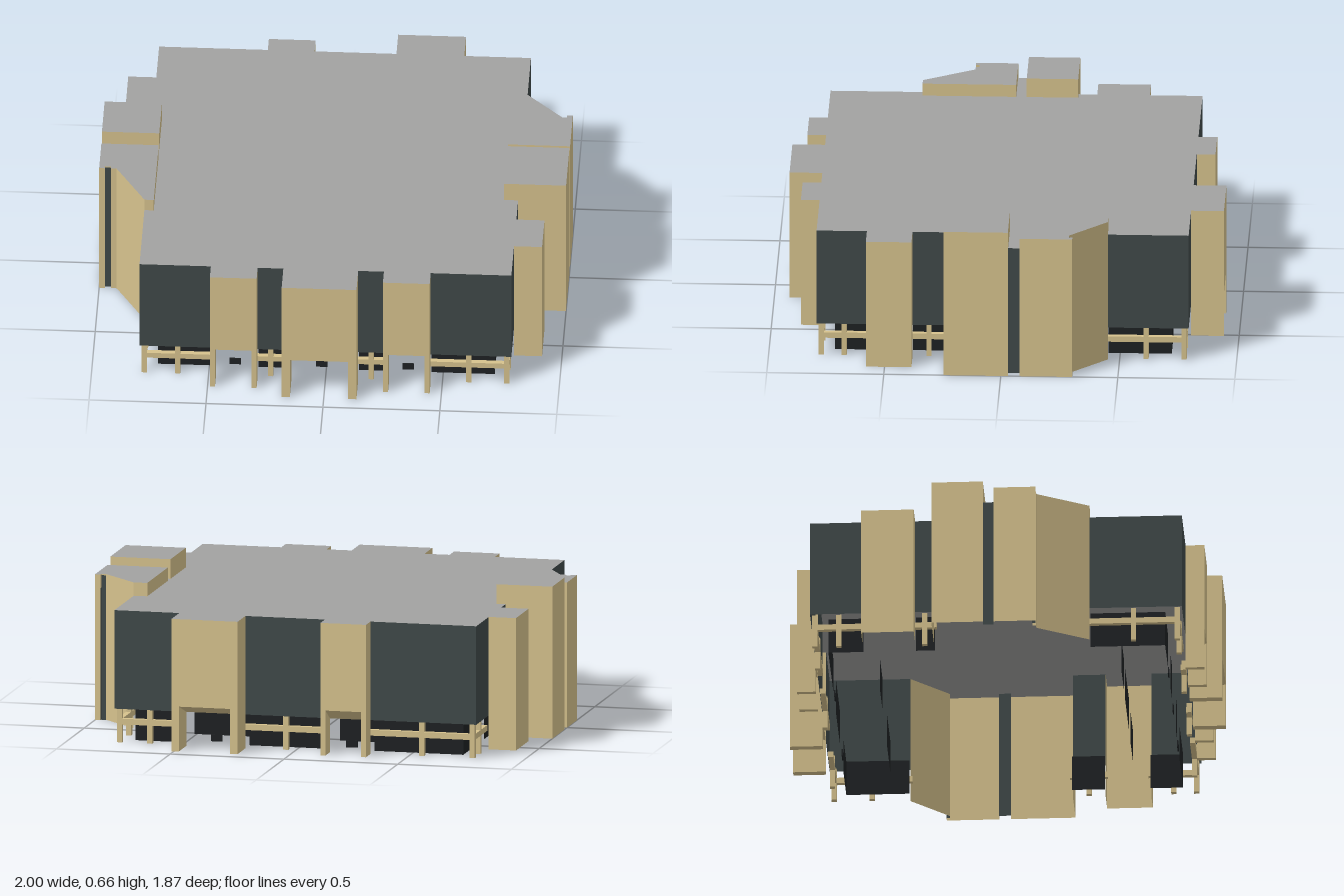
import * as THREE from 'three';

const mat = (name, color) => {
  const m = new THREE.MeshStandardMaterial({ color, side: THREE.DoubleSide });
  m.name = name;
  return m;
};

const ROOF = 0.575, UNDER = 0.147, PORTAL = 0.195, B = 0.795;

export function createModel() {
  const group = new THREE.Group();
  const tan = mat('tan stone', 0xd6c28d);
  const slate = mat('slate cladding', 0x404949);
  const grey = mat('grey roof', 0xa2a2a1);
  const black = mat('dark glazing', 0x1e2123);

  const add = (name, geo, material) => {
    const mesh = new THREE.Mesh(geo, material);
    mesh.name = name;
    group.add(mesh);
    return mesh;
  };

  // Flat four-cornered face, corners anticlockwise from outside
  const quad = (name, a, b, c, d, material) => {
    const g = new THREE.BufferGeometry();
    g.setAttribute('position', new THREE.Float32BufferAttribute([...a, ...b, ...c, ...d], 3));
    g.setIndex([0, 1, 2, 0, 2, 3]);
    g.computeVertexNormals();
    return add(name, g, material);
  };
  const wall = (name, [ax, az], [bx, bz], y0, y1, material) =>
    quad(name, [ax, y0, az], [bx, y0, bz], [bx, y1, bz], [ax, y1, az], material);

  const flatRoof = (name, pts, y) => {
    const shape = new THREE.Shape(pts.map(([x, z]) => new THREE.Vector2(x, -z)));
    add(name, new THREE.ShapeGeometry(shape).rotateX(-Math.PI / 2).translate(0, y, 0), grey);
  };

  // Box between two opposite corners
  const box = (name, x0, x1, y0, y1, z0, z1, material) =>
    add(name, new THREE.BoxGeometry(Math.abs(x1 - x0), y1 - y0, Math.abs(z1 - z0)), material)
      .position.set((x0 + x1) / 2, (y0 + y1) / 2, (z0 + z1) / 2);

  // Pull a point of the outline in to a smaller square
  const inset = ([x, z], r) => [THREE.MathUtils.clamp(x, -r, r), THREE.MathUtils.clamp(z, -r, r)];

  // Raised upper storey over open ground floor, with glazing, rail and posts
  const overhang = (a, b) => {
    wall('upperWall', a, b, UNDER, ROOF, slate);
    wall('groundGlazing', inset(a, 0.72), inset(b, 0.72), 0, UNDER + 0.01, black);
    const [ax, az] = inset(a, 0.775), [bx, bz] = inset(b, 0.775), h = 0.011;
    box('rail', Math.min(ax, bx) - h, Math.max(ax, bx) + h, 0.078, 0.103,
      Math.min(az, bz) - h, Math.max(az, bz) + h, tan);
    const px = (ax + bx) / 2, pz = (az + bz) / 2;
    box('post', px - h, px + h, 0, UNDER, pz - h, pz + h, tan);
  };

  // Bay front on two legs with a sloping hood and set-back entrance
  const portal = (a, b) => {
    const [ax, z] = a, [bx] = b, s = Math.sign(z), j = (bx - ax) * 0.11;
    wall('bayFront', a, b, PORTAL, ROOF, tan);
    box('bayLeg', ax, ax + j, 0, PORTAL, z, s * B, tan);
    box('bayLeg', bx - j, bx, 0, PORTAL, z, s * B, tan);
    quad('portalHood', [ax + j, UNDER, s * B], [bx - j, UNDER, s * B],
      [bx - j, PORTAL, z], [ax + j, PORTAL, z], tan);
    wall('entranceGlazing', [ax, s * 0.52], [bx, s * 0.52], 0, UNDER, black);
    const m = (ax + bx) / 2;
    box('doorPanel', m - 0.025, m + 0.025, 0.01, 0.04, s * 0.72, s * 0.715, black);
  };

  // Outline of the plan: x, z and the kind of wall leading to the next point
  // s = slate overhang, t = tan to the ground, p = portal, d = slate to the ground
  const outline = [
    [-B, B, 's'], [-0.49, B, 't'], [-0.49, 0.875, 'p'], [-0.29, 0.875, 't'],
    [-0.29, B, 's'], [-0.18, B, 't'], [-0.18, 0.935, 'p'], [0.14, 0.935, 't'],
    [0.14, B, 's'], [0.25, B, 't'], [0.25, 0.875, 'p'], [0.45, 0.875, 't'],
    [0.45, B, 's'], [B, B, 's'], [B, 0.58, 't'], [0.915, 0.58, 't'],
    [0.915, 0.385, 't'], [B, 0.385, 's'], [B, 0.245, 't'], [1, 0.245, 't'],
    [1, -0.03, 't'], [0.965, -0.03, 'd'], [0.965, -0.08, 't'], [1, -0.08, 't'],
    [1, -0.305, 't'], [0.975, -0.305, 'd'], [0.975, -0.29, 'd'], [0.955, -0.29, 't'],
    [B, -0.45, 's'], [B, -B, 's'], [0.51, -B, 't'], [0.51, -0.935, 'p'],
    [0.22, -0.935, 't'], [0.22, -B, 's'], [-0.13, -B, 't'], [-0.13, -0.875, 'p'],
    [-0.33, -0.875, 't'], [-0.33, -B, 's'], [-B, -B, 's'], [-B, -0.57, 't'],
    [-0.915, -0.57, 't'], [-0.915, -0.345, 't'], [-B, -0.345, 's'], [-B, -0.265, 't'],
    [-1, -0.265, 't'], [-1, -0.045, 't'], [-0.97, -0.045, 'd'], [-0.97, 0, 't'],
    [-1, 0, 't'], [-1, 0.18, 't'], [-0.975, 0.18, 'd'], [-0.975, 0.165, 'd'],
    [-0.95, 0.165, 't'], [-0.95, 0.18, 't'], [-0.925, 0.18, 't'], [-B, 0.4, 's'],
  ];
  outline.forEach(([x, z, kind], i) => {
    const a = [x, z], b = outline[(i + 1) % outline.length].slice(0, 2);
    if (kind === 's') overhang(a, b);
    else if (kind === 'p') portal(a, b);
    else wall(kind === 't' ? 'stoneWall' : 'slateInfill', a, b, 0, ROOF, kind === 't' ? tan : slate);
  });
  flatRoof('mainRoof', outline, ROOF);

  // Posts at the four corners
  for (const x of [-0.775, 0.775]) for (const z of [-0.775, 0.775])
    box('cornerPost', x - 0.011, x + 0.011, 0, UNDER, z - 0.011, z + 0.011, tan);

  // Tower tops rising above the main roof
  const towerTop = (pts, y) => {
    pts.forEach((p, i) => wall('towerTopWall', p, pts[(i + 1) % pts.length], ROOF, y, tan));
    flatRoof('towerRoof', pts, y);
  };
  towerTop([[0.735, 0.245], [1, 0.245], [1, -0.03], [0.735, -0.03]], 0.66);
  towerTop([[-1, -0.045], [-0.755, -0.045], [-0.755, -0.265], [-1, -0.265]], 0.66);
  towerTop([[0.735, -0.08], [1, -0.08], [1, -0.305], [0.975, -0.305], [0.975, -0.29],
    [0.955, -0.29], [B, -0.45], [0.735, -0.45]], 0.633);
  towerTop([[-0.755, 0], [-1, 0], [-1, 0.18], [-0.975, 0.18], [-0.975, 0.165], [-0.95, 0.165],
    [-0.95, 0.18], [-0.925, 0.18], [-B, 0.4], [-0.755, 0.4]], 0.63);

  // Dark slots in the notches beside the angled walls
  wall('slot', [-0.975, 0.168], [-0.95, 0.168], 0, 0.625, slate);
  wall('slot', [0.976, -0.293], [0.955, -0.293], 0, 0.628, slate);

  return group;
}
